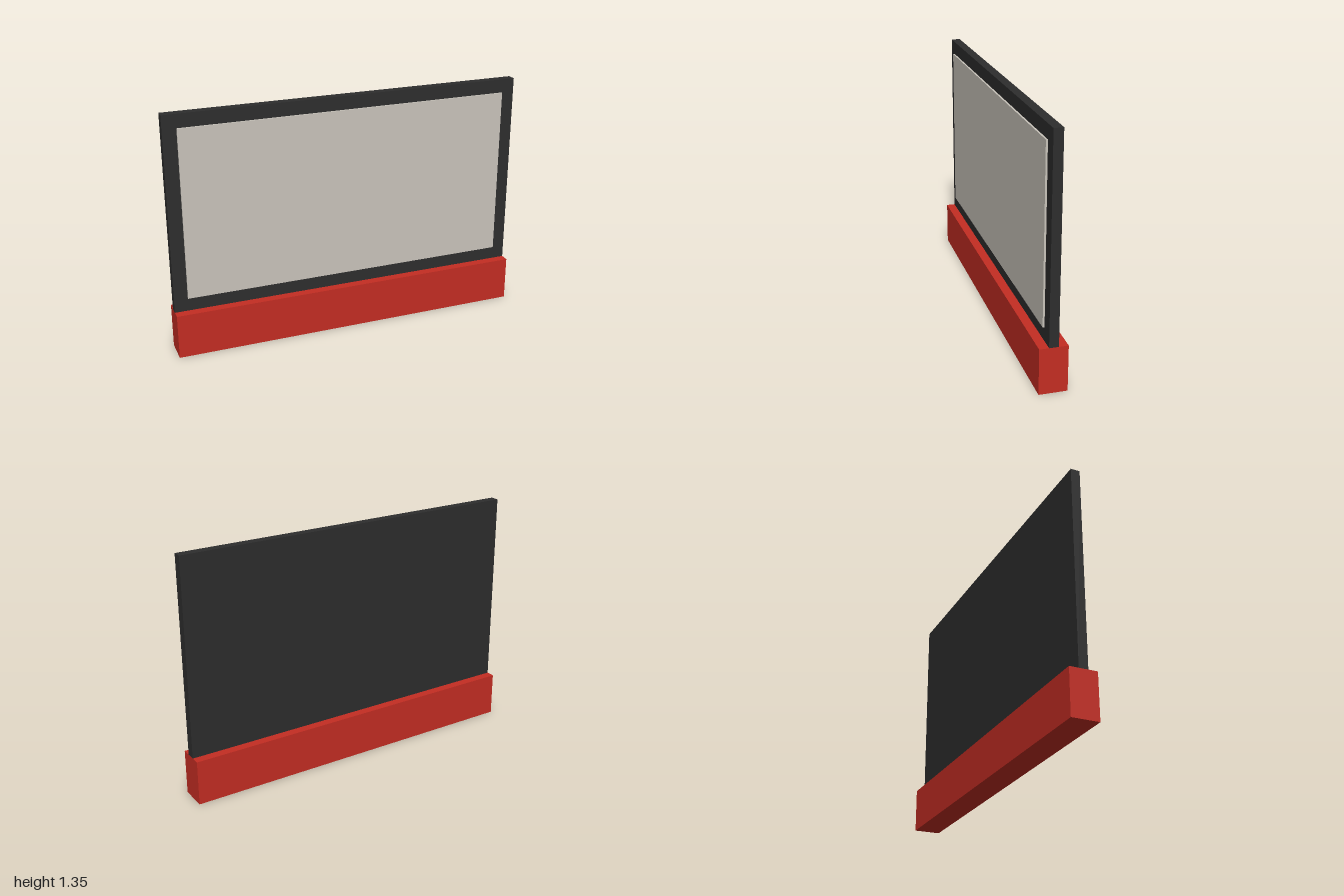
import * as THREE from 'three';

export function createModel() {
  const model = new THREE.Group();
  model.name = 'panelOnBase';

  const material = (name, color) => {
    const m = new THREE.MeshStandardMaterial({ color });
    m.name = name;
    return m;
  };
  const red = material('red', 0xc42d23);
  const charcoal = material('charcoal', 0x2d2d2d);
  const warmGrey = material('warmGrey', 0xc9c4bb);

  // Box given by its width and its bottom, top, back and front limits
  const addBox = (name, mat, width, y0, y1, z0, z1) => {
    const mesh = new THREE.Mesh(new THREE.BoxGeometry(width, y1 - y0, z1 - z0), mat);
    mesh.position.set(0, (y0 + y1) / 2, (z0 + z1) / 2);
    mesh.name = name;
    model.add(mesh);
  };

  // Heavy plinth, upright panel, and the screen raised from its front
  addBox('base', red, 2, 0, 0.25, -0.075, 0.075);
  addBox('panel', charcoal, 2, 0.25, 1.35, -0.025, 0.025);
  addBox('screen', warmGrey, 1.85, 0.325, 1.275, 0.025, 0.035);

  return model;
}
